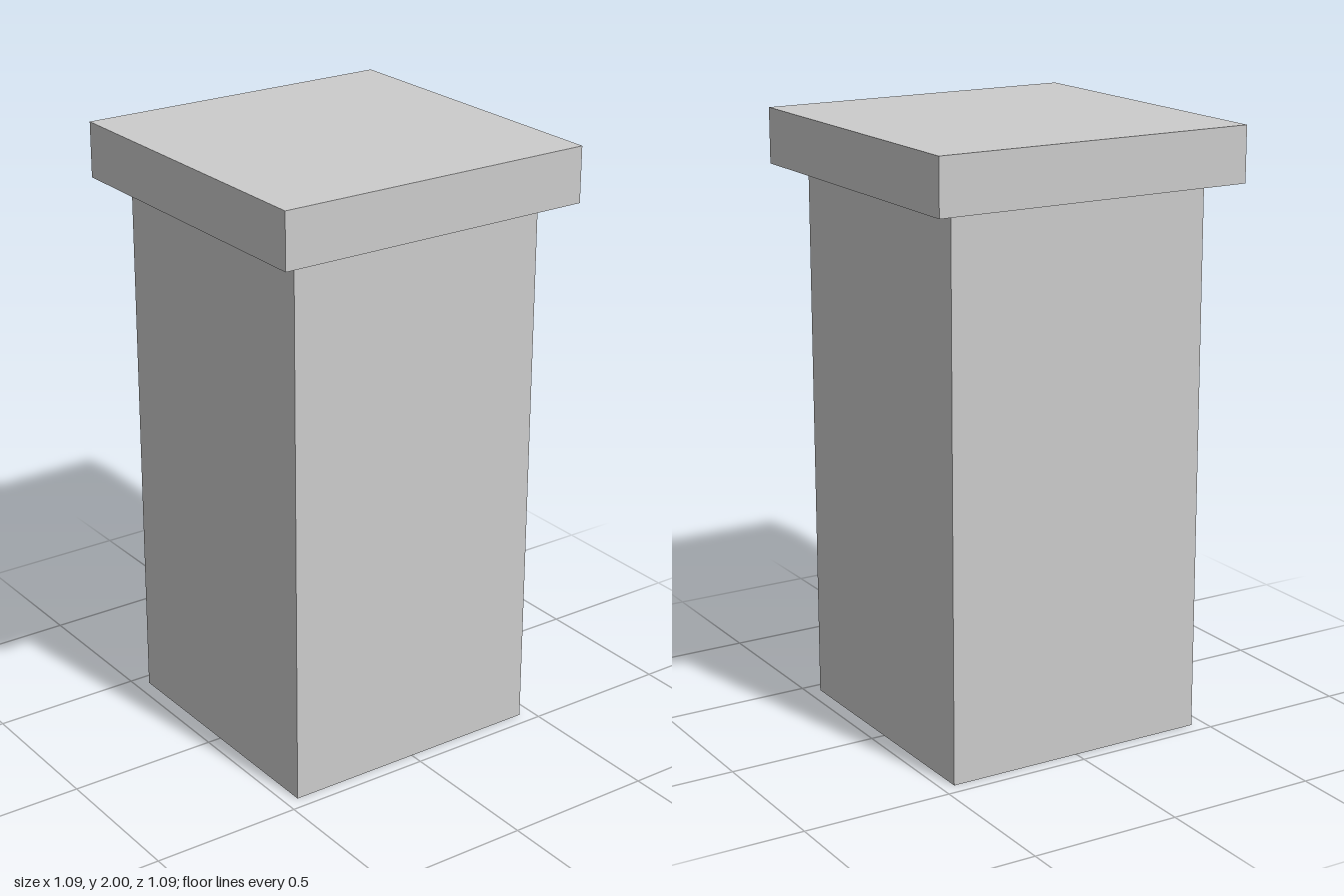
import * as THREE from 'three';

const material = new THREE.MeshStandardMaterial({ color: 0xcccccc });

// Square block standing on height y
function block(name, width, height, y) {
  const mesh = new THREE.Mesh(new THREE.BoxGeometry(width, height, width), material);
  mesh.name = name;
  mesh.position.y = y + height / 2;
  return mesh;
}

export function createModel() {
  const pillar = new THREE.Group();
  pillar.name = 'pillar';
  const shaftHeight = 1.818;

  // Square shaft with an overhanging cap slab
  pillar.add(block('shaft', 0.909, shaftHeight, 0));
  pillar.add(block('cap', 1.091, 2 - shaftHeight, shaftHeight));
  return pillar;
}
